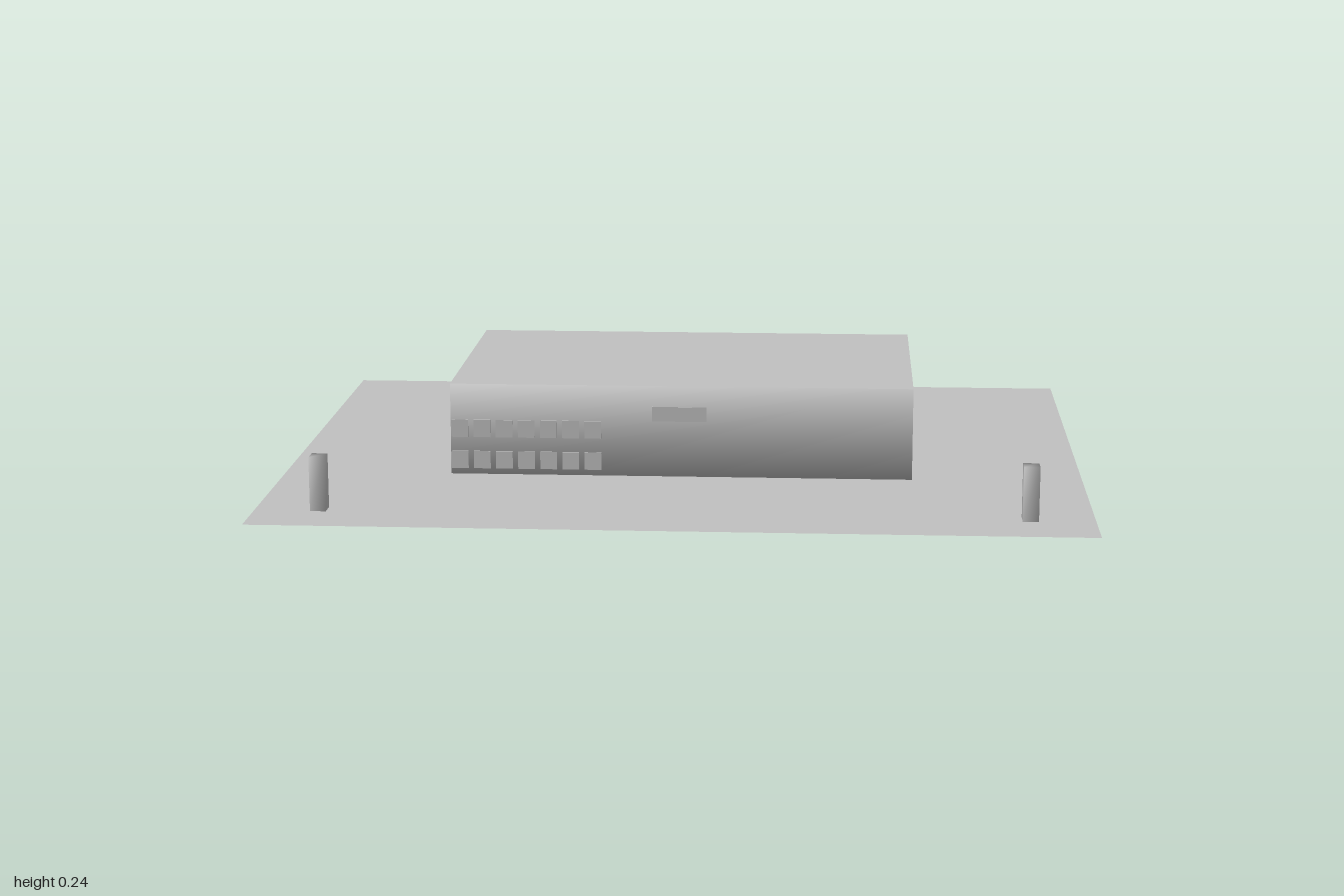
import * as THREE from 'three';
import { mergeVertices } from 'three/addons/utils/BufferGeometryUtils.js';

// Box whose corner normals are shared, for a softly shaded look
function softBox(w, h, d) {
  const box = new THREE.BoxGeometry(w, h, d);
  box.deleteAttribute('normal');
  box.deleteAttribute('uv');
  const soft = mergeVertices(box);
  soft.computeVertexNormals();
  return soft;
}

export function createModel() {
  const model = new THREE.Group();
  const grey = new THREE.MeshStandardMaterial({ color: 0xc0c0c0, side: THREE.DoubleSide });
  grey.name = 'plain grey';

  function add(name, geometry, x, y, z) {
    const mesh = new THREE.Mesh(geometry, grey);
    mesh.name = name;
    mesh.position.set(x, y, z);
    model.add(mesh);
    return mesh;
  }
  const sheet = (w, d) => new THREE.PlaneGeometry(w, d).rotateX(-Math.PI / 2);

  // Ground sheet and the building's floor just above it
  add('ground', sheet(2, 1.61), 0, 0, 0);
  const width = 1.15, depth = 0.695, centreZ = -0.021;
  add('floor', sheet(width, depth), 0, 0.004, centreZ);

  // Building: softly shaded walls with a flat roof
  const bottom = 0.01, top = 0.24;
  const walls = softBox(width, top - bottom, depth);
  // leave out the top face (third side of the box, six indices per side)
  const index = Array.from(walls.index.array);
  index.splice(12, 6);
  walls.setIndex(index);
  add('walls', walls, 0, (top + bottom) / 2, centreZ);
  add('roof', sheet(width, depth), 0, top, centreZ);

  // Two rows of windows on the front's right-hand end
  const frontZ = centreZ + depth / 2;
  for (const y of [0.127, 0.047]) {
    for (let i = 0; i < 7; i++) {
      add('window', new THREE.BoxGeometry(0.042, 0.044, 0.006), -0.552 + i * 0.0555, y, frontZ + 0.001);
    }
  }

  // Blank sign plate
  add('signPlate', new THREE.BoxGeometry(0.135, 0.037, 0.004), -0.003, 0.169, frontZ);

  // Gate posts at the front corners
  for (const side of [-1, 1]) {
    add('gatePost', softBox(0.038, 0.132, 0.042), side * 0.846, 0.066, 0.653);
  }
  return model;
}
